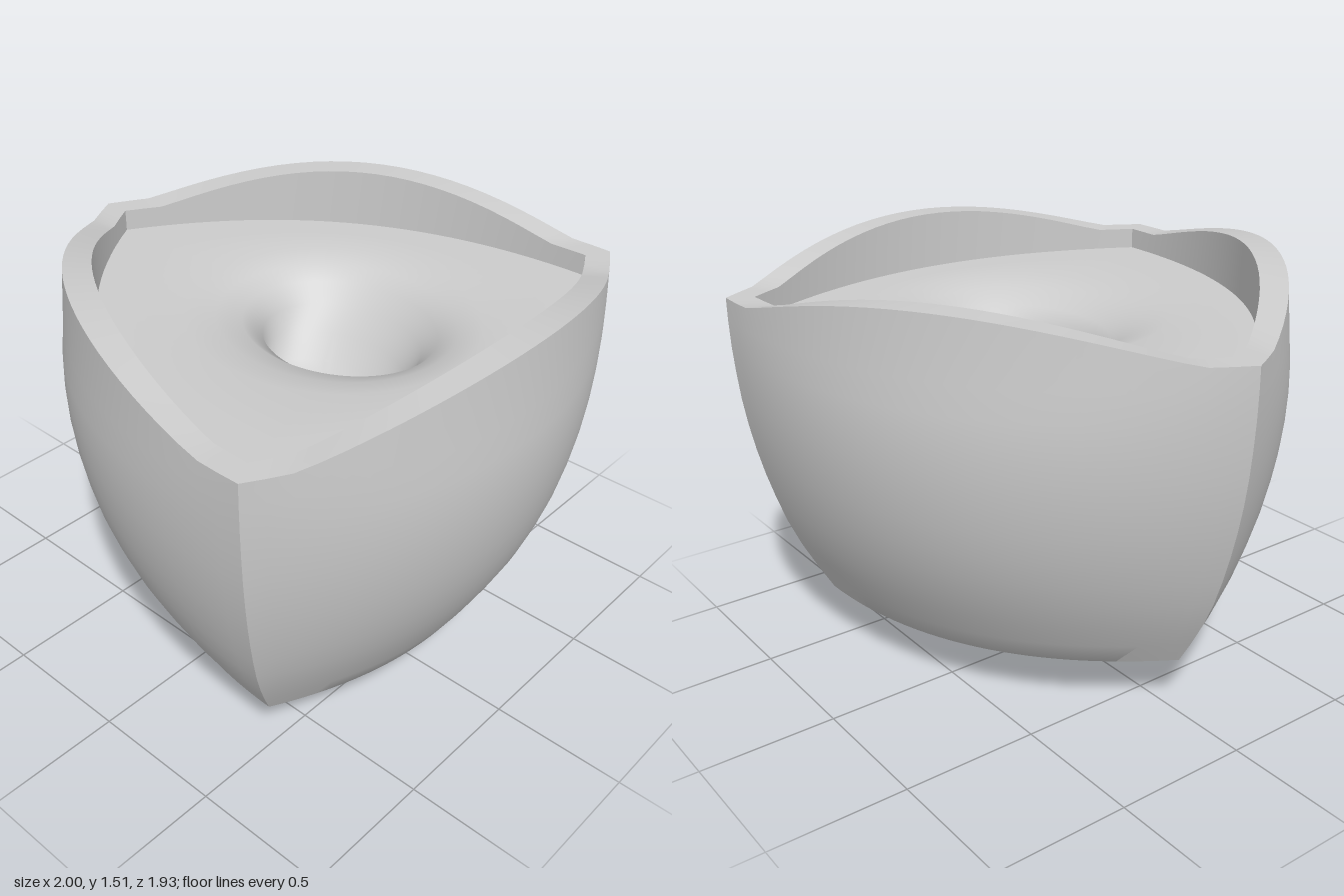
import * as THREE from 'three';
import { toCreasedNormals } from 'three/addons/utils/BufferGeometryUtils.js';

const CENTRE = 0.11;   // x of the vertical axis
const SEG = 28;        // steps along each of the three sides
const FLOOR = 1.3;

// Bulged triangle: corner = radius at the corners, mid = radius at side centres
function outline(corner, mid, height) {
  const ring = [];
  for (let k = 0; k < 3; k++) {
    const angle = k * Math.PI * 2 / 3, c = Math.cos(angle), s = Math.sin(angle);
    for (let j = 0; j < SEG; j++) {
      const t = -1 + 2 * j / SEG;
      const u = corner / 2 + (mid - corner / 2) * (1 - t * t);
      const v = t * corner * Math.sqrt(3) / 2;
      const y = typeof height === 'function' ? height(t) : height;
      ring.push([CENTRE + u * c - v * s, y, u * s + v * c]);
    }
  }
  return ring;
}

// Oval ring with points in the same directions as the outline
function oval(x, z, rx, rz, y) {
  return outline(1.11, 0.89, 0).map(p => {
    const a = Math.atan2(p[2], p[0] - CENTRE);
    return [x + rx * Math.cos(a), y, z + rz * Math.sin(a)];
  });
}

// Skin a stack of rings
function loft(name, rings, crease) {
  const n = SEG * 3, index = [];
  const same = r => Math.hypot(r[0][0] - r[SEG][0], r[0][2] - r[SEG][2]) < 1e-6;
  for (let i = 0; i < rings.length - 1; i++) {
    for (let j = 0; j < n; j++) {
      const k = (j + 1) % n;
      const a = i * n + j, b = i * n + k, c = a + n, d = b + n;
      if (!same(rings[i])) index.push(a, c, b);
      if (!same(rings[i + 1])) index.push(b, c, d);
    }
  }
  const geometry = new THREE.BufferGeometry();
  geometry.setAttribute('position', new THREE.Float32BufferAttribute(rings.flat(2), 3));
  geometry.setIndex(index);
  const mesh = new THREE.Mesh(
    toCreasedNormals(geometry, crease),
    new THREE.MeshStandardMaterial({ color: 0xcccccc, side: THREE.DoubleSide })
  );
  mesh.name = name;
  return mesh;
}

export function createModel() {
  const group = new THREE.Group();
  group.name = 'threeCorneredBowl';

  // Rim rises in the middle of each side and dips at the corners
  const rim = t => 1.38 + 0.135 * Math.pow(Math.max(0, 1 - (t / 0.86) ** 2), 1.15);

  // Bowl: shallow pointed underside, swelling walls, flat rim, inner wall
  const rings = [];
  for (let i = 0; i <= 8; i++) {
    const f = i / 8;
    rings.push(outline(0.81 * f, 0.6 * f, 0.21 * Math.pow(f, 1.5)));
  }
  const walls = [
    [0.865, 0.655, 0.3], [0.92, 0.71, 0.4], [0.965, 0.76, 0.5], [1.0, 0.8, 0.6],
    [1.03, 0.833, 0.7], [1.055, 0.857, 0.8], [1.075, 0.875, 0.9], [1.09, 0.886, 1.0],
    [1.1, 0.89, 1.1], [1.107, 0.886, 1.2], [1.11, 0.873, 1.3]
  ];
  for (const [corner, mid, y] of walls) rings.push(outline(corner, mid, y));
  rings.push(outline(1.11, 0.855, rim));
  rings.push(outline(1.01, 0.755, rim));
  rings.push(outline(1.01, 0.755, FLOOR));
  group.add(loft('bowl', rings, 0.62));

  // Inner floor sinking into an off-centre hollow with a steep front lip
  group.add(loft('hollowedFloor', [
    outline(1.01, 0.755, FLOOR),
    outline(0.82, 0.65, FLOOR),
    oval(0.13, -0.04, 0.53, 0.5, 1.295),
    oval(0.13, -0.06, 0.44, 0.4, 1.27),
    oval(0.12, -0.09, 0.37, 0.31, 1.225),
    oval(0.12, -0.1, 0.31, 0.24, 1.16),
    oval(0.12, -0.06, 0.285, 0.2, 1.08),
    oval(0.14, -0.02, 0.26, 0.17, 1.0),
    oval(0.16, 0.0, 0.2, 0.13, 0.95),
    oval(0.17, 0.0, 0.1, 0.07, 0.925),
    oval(0.17, 0.0, 0, 0, 0.92)
  ], 1.2));

  return group;
}
